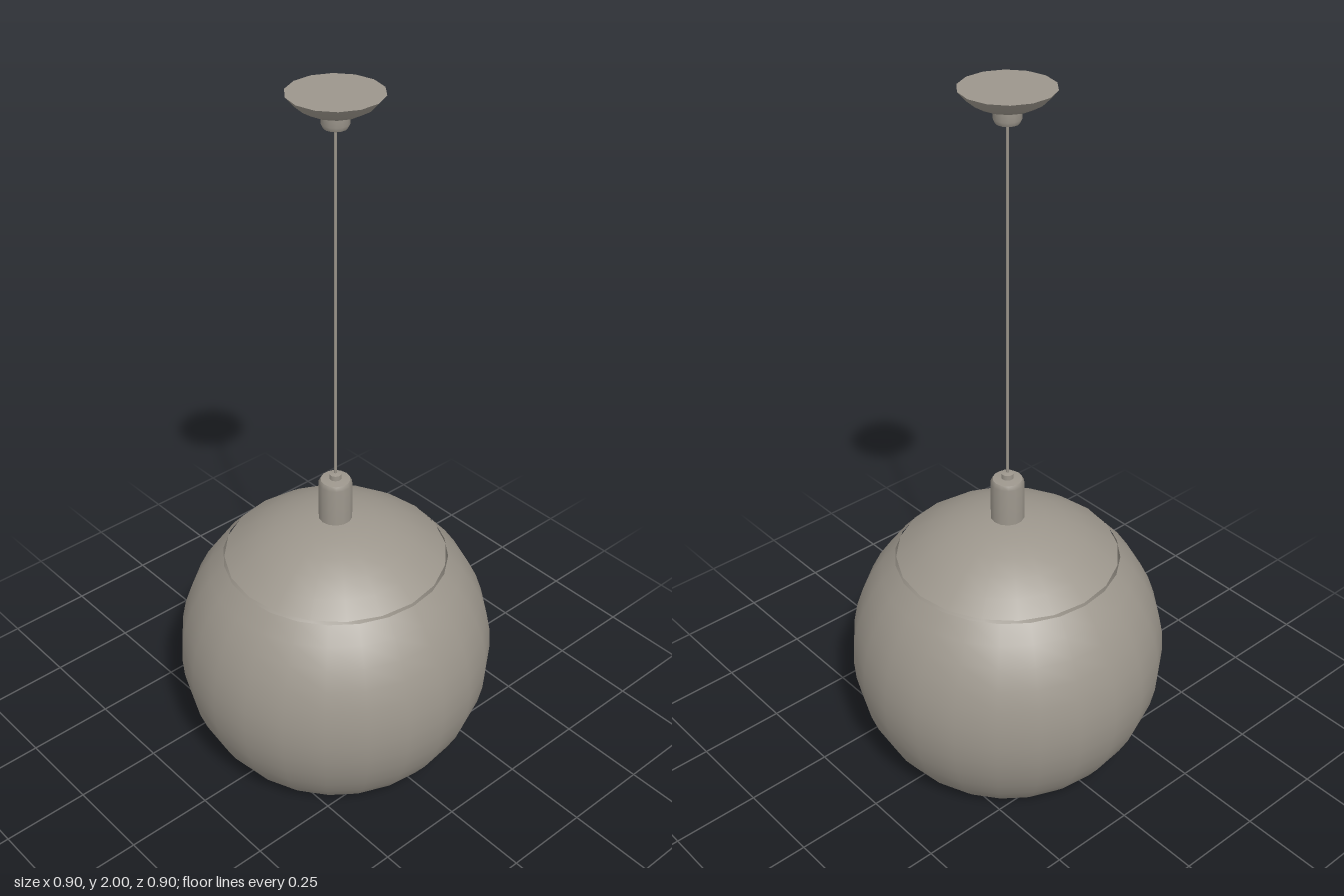
import * as THREE from 'three';

const grey = new THREE.MeshStandardMaterial({ color: 0x9c968c });
grey.name = 'warm grey';

// One lathe per profile section keeps the edges between sections sharp.
// Points run upwards for outward faces, downwards for inward faces.
function turned(name, sides, sections) {
  const group = new THREE.Group();
  group.name = name;
  sections.forEach((points, i) => {
    const profile = points.map(([r, y]) => new THREE.Vector2(r, y));
    const mesh = new THREE.Mesh(new THREE.LatheGeometry(profile, sides), grey);
    mesh.name = `${name}Surface${i + 1}`;
    group.add(mesh);
  });
  return group;
}

// Points on a circular arc between two heights, around the globe centre
const CENTRE = 0.325;
function arc(radius, y0, y1, steps) {
  const a0 = Math.asin(THREE.MathUtils.clamp((y0 - CENTRE) / radius, -1, 1));
  const a1 = Math.asin(THREE.MathUtils.clamp((y1 - CENTRE) / radius, -1, 1));
  return Array.from({ length: steps + 1 }, (_, i) => {
    const a = a0 + (a1 - a0) * i / steps;
    return [Math.max(0, radius * Math.cos(a)), CENTRE + radius * Math.sin(a)];
  });
}

export function createModel() {
  const model = new THREE.Group();
  model.name = 'pendantLamp';

  // Globe shade, open at the bottom, with an inner wall
  const outer = arc(0.45, 0, 0.645, 12);
  const inner = arc(0.438, 0.763, 0, 14);
  model.add(turned('globeShade', 24, [
    outer,
    inner,
    [inner[inner.length - 1], outer[0]],
  ]));

  // Domed cap with a small overhanging rim
  const dome = arc(0.45, 0.652, 0.775, 6);
  dome[0] = [0.312, 0.652];
  model.add(turned('domeCap', 20, [
    [[0.3, 0.645], [0.312, 0.652]],
    dome,
  ]));

  // Lamp holder with its cable grip
  model.add(turned('lampHolder', 14, [
    [[0.047, 0.765], [0.047, 0.885], [0.041, 0.897]],
    [[0.041, 0.897], [0.017, 0.9]],
    [[0.017, 0.9], [0.017, 0.915]],
    [[0.017, 0.915], [0, 0.918]],
  ]));

  // Hanging cord
  const cord = new THREE.Mesh(new THREE.CylinderGeometry(0.004, 0.004, 1.02, 6, 1, true), grey);
  cord.name = 'cord';
  cord.position.y = 1.42;
  model.add(cord);

  // Ceiling canopy with a cable nipple below
  model.add(turned('ceilingCanopy', 14, [
    [[0, 1.913], [0.03, 1.913]],
    [[0.03, 1.913], [0.036, 1.925], [0.036, 1.952]],
    [[0.036, 1.95], [0.075, 1.96], [0.1, 1.975], [0.122, 2]],
    [[0.122, 2], [0, 2]],
  ]));

  return model;
}
